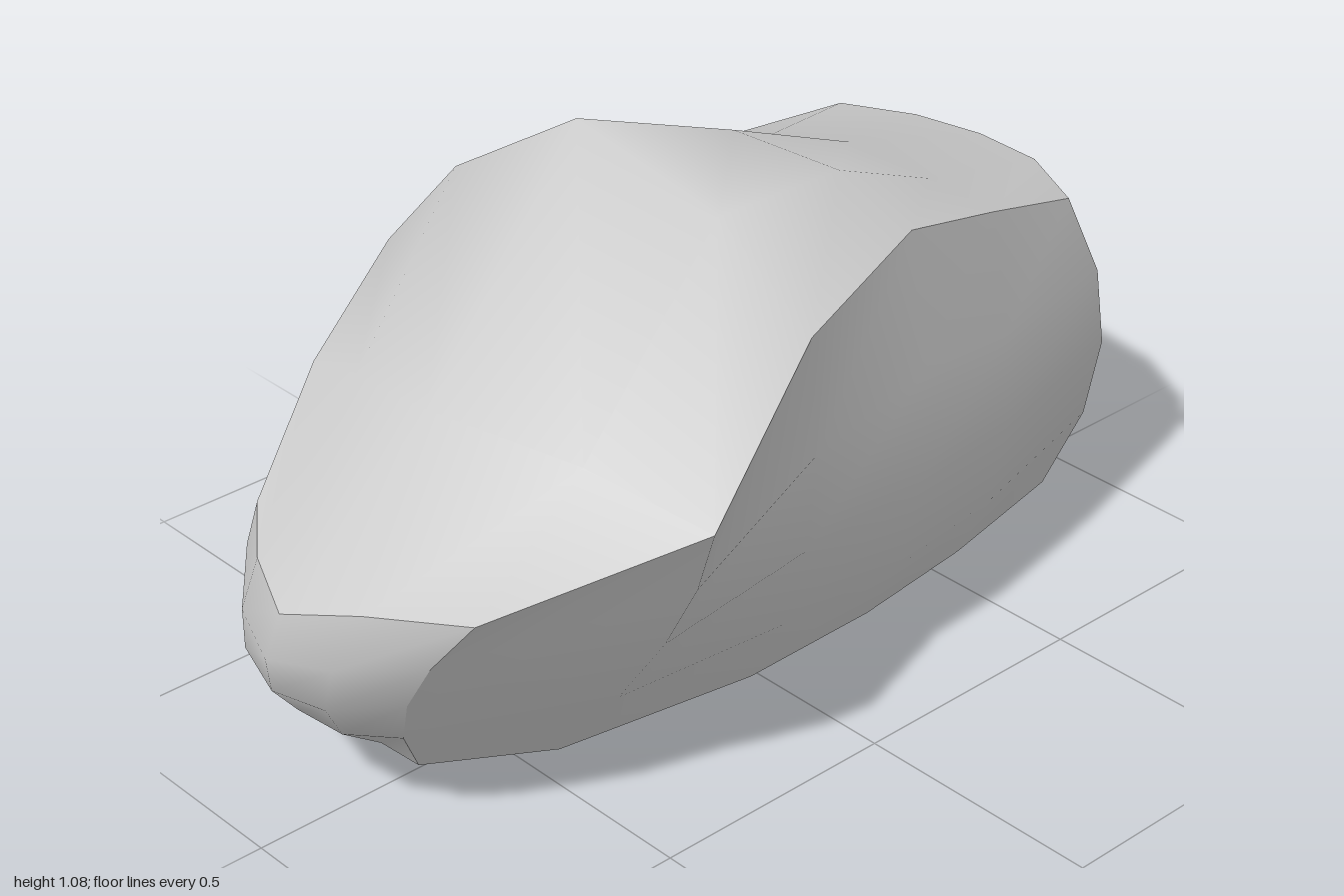
import * as THREE from 'three';

// Lines of [x, y, z] points running from the -x end to the +x end.
// Top face, front to back
const top = [
  [[-.83, .575, .4], [-.44, .65, .545], [-.11, .85, .43], [.2, .92, .36], [.5, .825, .28], [.79, .73, .21]],
  [[-.92, .55, .22], [-.51, .7, .3], [-.12, 1, .21], [.18, .985, .2], [.5, .835, .12], [.87, .73, .05]],
  [[-.97, .5, .06], [-.6, .72, 0], [-.15, 1.08, -.12], [.18, .97, -.07], [.51, .83, -.1], [.91, .71, -.13]],
  [[-.91, .52, -.08], [-.58, .69, -.22], [-.2, .905, -.4], [.13, .87, -.35], [.5, .78, -.3], [.905, .695, -.3]],
  [[-.82, .54, -.2], [-.54, .63, -.4], [-.25, .72, -.545], [.08, .71, -.5], [.5, .7, -.485], [.84, .69, -.45]],
];
// Belt lines halfway down the front and back
const frontMid = [[-.86, .36, .25], [-.45, .39, .435], [-.1, .42, .42], [.2, .42, .4], [.5, .4, .34], [.88, .4, .24]];
const backMid = [[-.83, .36, -.24], [-.5, .38, -.37], [-.2, .4, -.46], [.1, .4, -.465], [.5, .42, -.48], [.86, .42, -.44]];
// Bottom face, front to back
const bottom = [
  [[-.75, .125, .13], [-.49, .07, .2], [-.1, .085, .28], [.2, .09, .28], [.5, .075, .23], [.82, .07, .16]],
  [[-.76, .13, -.07], [-.5, .06, -.06], [-.2, .045, -.07], [.12, .003, -.16], [.5, .06, -.11], [.84, .11, -.12]],
  [[-.77, .17, -.28], [-.48, .09, -.33], [-.17, .06, -.34], [.13, .045, -.33], [.46, .125, -.41], [.79, .18, -.39]],
];
// Outermost points of the two ends
const leftPole = [1, .39, -.08], rightPole = [-.955, .31, 0];

// Five points on the parabola through three points
const bow = (a, b, c) => [0, .25, .5, .75, 1].map(t => a.map((v, i) =>
  v * (1 - t) * (1 - 2 * t) + b[i] * 4 * t * (1 - t) + c[i] * t * (2 * t - 1)));

// Five rows bowed through three rows
const loft = (a, b, c) => {
  const columns = a.map((p, i) => bow(p, b[i], c[i]));
  return [0, 1, 2, 3, 4].map(r => columns.map(column => column[r]));
};

// Smooth face from rows of points, creased where it meets its neighbours
function face(name, rows) {
  const n = rows[0].length, index = [];
  for (let r = 0; r < rows.length - 1; r++) {
    for (let c = 0; c < n - 1; c++) {
      const a = r * n + c, b = a + n;
      index.push(a, b, a + 1, b, b + 1, a + 1);
    }
  }
  const geometry = new THREE.BufferGeometry();
  geometry.setAttribute('position', new THREE.Float32BufferAttribute(rows.flat(2), 3));
  geometry.setIndex(index);
  geometry.computeVertexNormals();
  const mesh = new THREE.Mesh(geometry, new THREE.MeshStandardMaterial({ color: 0xcccccc }));
  mesh.name = name;
  return mesh;
}

export function createModel() {
  const rock = new THREE.Group();
  rock.name = 'rock';

  // Long faces
  rock.add(face('rockTop', [...top].reverse()));
  rock.add(face('rockFront', loft(top[0], frontMid, bottom[0])));
  rock.add(face('rockBack', loft(bottom[2], backMid, top[4])));
  rock.add(face('rockBottom', loft(...bottom)));

  // Bulging end faces share their borders with the long faces
  const end = (i, pole) => loft(
    top.map(row => row[i]),
    bow(frontMid[i], pole, backMid[i]),
    bow(...bottom.map(row => row[i])));
  rock.add(face('rockLeftEnd', end(5, leftPole)));
  rock.add(face('rockRightEnd', end(0, rightPole).map(row => row.reverse())));

  return rock;
}
